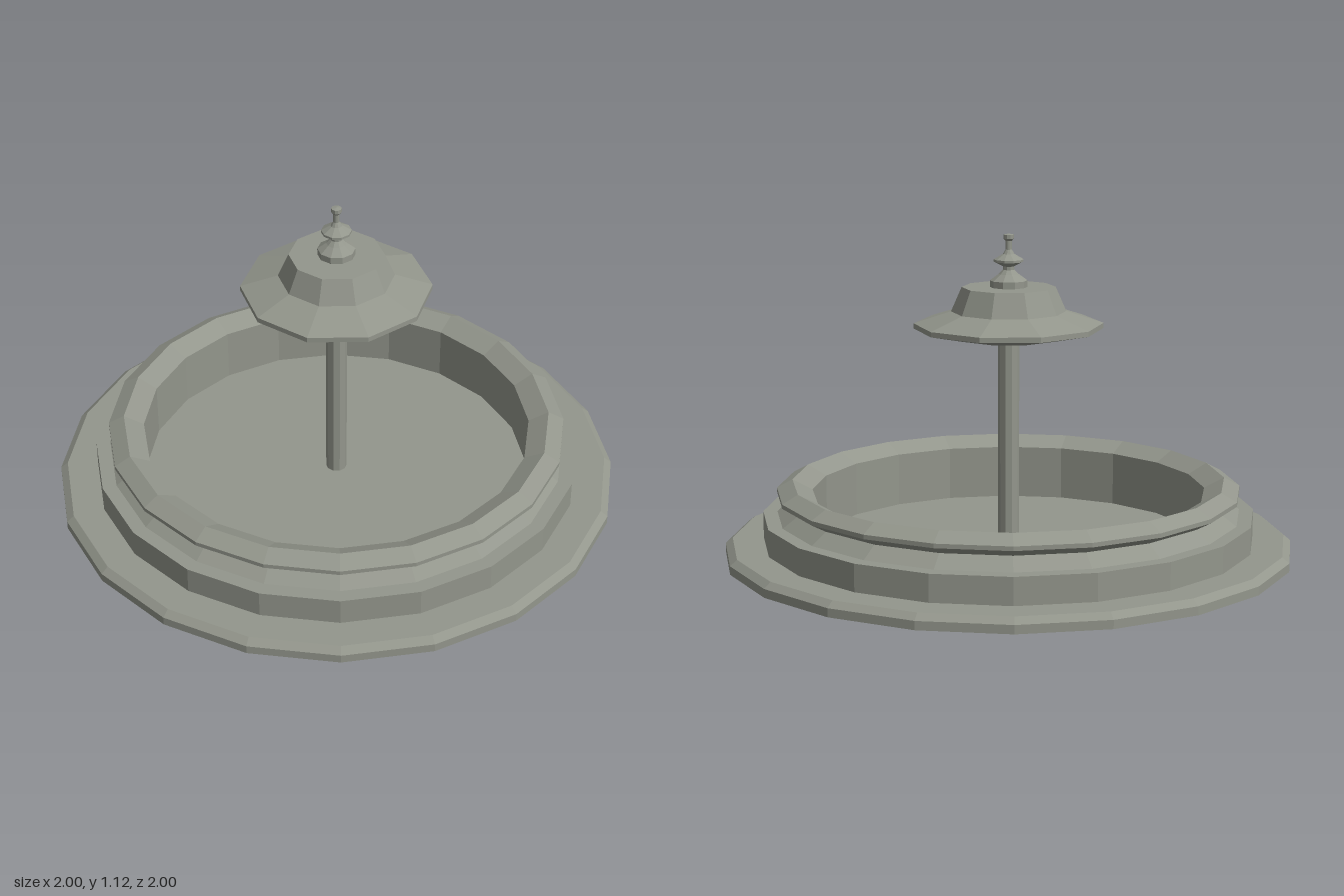
import * as THREE from 'three';

const stone = new THREE.MeshStandardMaterial({ color: 0x93968c, side: THREE.DoubleSide });
stone.name = 'grey stone';

// Faceted solid of revolution; profile is [radius, height] from the bottom up
function turned(name, sides, profile) {
  const points = profile.map(([r, y]) => new THREE.Vector2(r, y));
  const geometry = new THREE.LatheGeometry(points, sides).toNonIndexed();
  geometry.computeVertexNormals();
  const mesh = new THREE.Mesh(geometry, stone);
  mesh.name = name;
  return mesh;
}

export function createModel() {
  const model = new THREE.Group();
  model.name = 'fountain';

  // Hollow basin: stepped foot, outer wall, necked rim, inner wall, floor
  model.add(turned('basin', 20, [
    [0.865, 0], [1, 0], [1, 0.03], [0.975, 0.05],
    [0.865, 0.05], [0.865, 0.145],
    [0.815, 0.145], [0.76, 0.185], [0.815, 0.215],
    [0.815, 0.23], [0.76, 0.26],
    [0.69, 0.223], [0.69, 0.03], [0, 0.03],
  ]));

  // Slim central post
  model.add(turned('post', 10, [
    [0, 0.028], [0.037, 0.028], [0.037, 0.77],
  ]));

  // Upper bowl shaped like a wide hat
  model.add(turned('canopy', 10, [
    [0, 0.765], [0.19, 0.765], [0.33, 0.795], [0.33, 0.813],
    [0.2, 0.855], [0.163, 0.94], [0, 0.94],
  ]));

  // Turned finial with a disc and a small knob
  model.add(turned('finial', 10, [
    [0.065, 0.94], [0.065, 0.963], [0.035, 0.985], [0.02, 1.0],
    [0.02, 1.012], [0.052, 1.028], [0.052, 1.036], [0.02, 1.055],
    [0.011, 1.07], [0.011, 1.1], [0.018, 1.108], [0.018, 1.122], [0, 1.125],
  ]));

  return model;
}
